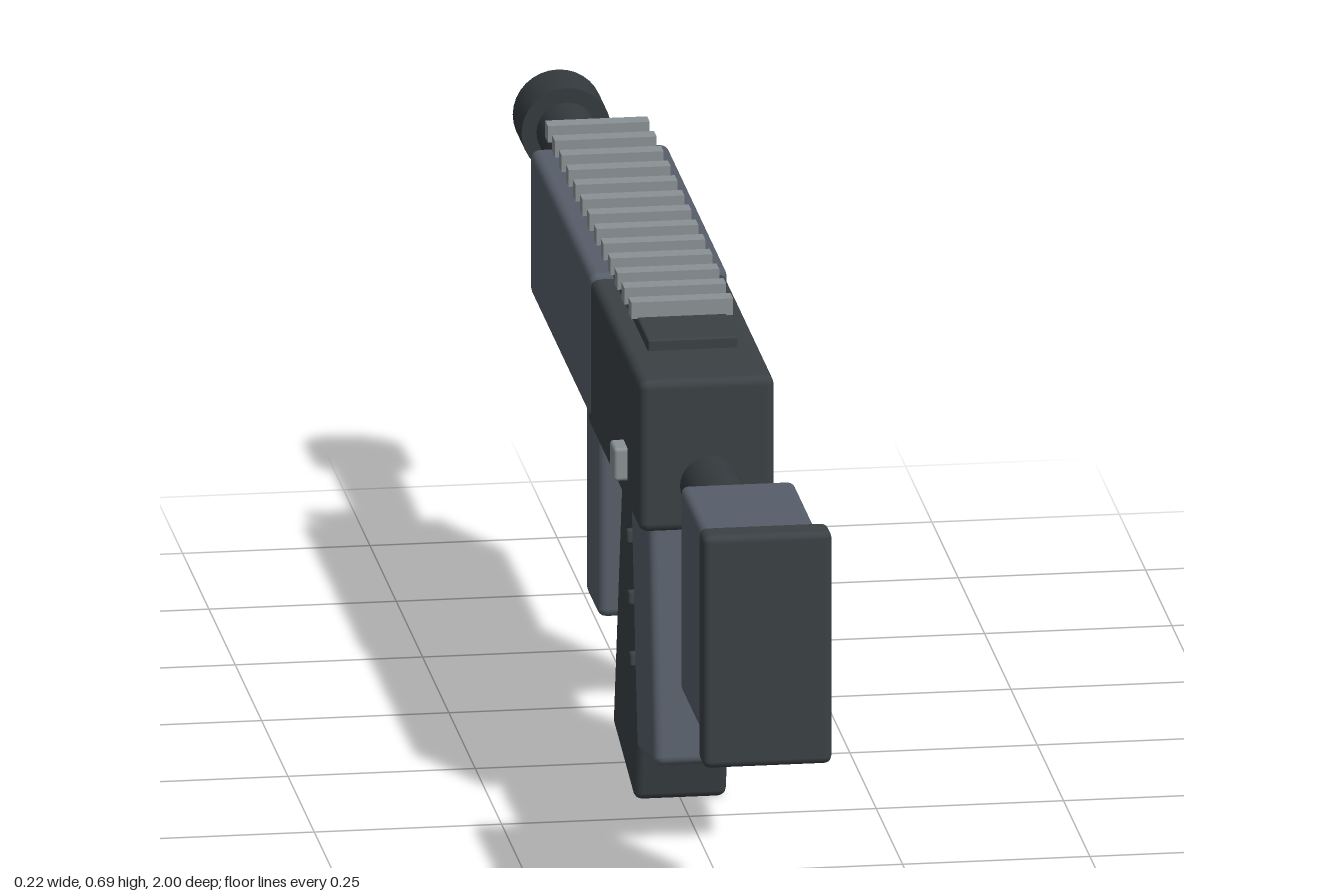
import * as THREE from 'three';
import { RoundedBoxGeometry } from 'three/addons/geometries/RoundedBoxGeometry.js';

const material = (name, color) => {
  const m = new THREE.MeshStandardMaterial({ color });
  m.name = name;
  return m;
};

export function createModel() {
  const charcoal = material('charcoal', 0x3b4144);
  const gunmetal = material('gunmetal', 0x343a3d);
  const slate = material('slate', 0x575e69);
  const steel = material('steel', 0x8a9194);
  const red = material('red', 0xd0604f);

  const model = new THREE.Group();
  model.name = 'blaster';

  const add = (parent, name, geometry, mat) => {
    const mesh = new THREE.Mesh(geometry, mat);
    mesh.name = name;
    parent.add(mesh);
    return mesh;
  };
  // Softly bevelled box given by its ranges on each axis
  const box = (name, mat, [x0, x1], [y0, y1], [z0, z1], r = 0.01, parent = model) => {
    const w = x1 - x0, h = y1 - y0, d = z1 - z0;
    const geometry = r ? new RoundedBoxGeometry(w, h, d, 2, r) : new THREE.BoxGeometry(w, h, d);
    const mesh = add(parent, name, geometry, mat);
    mesh.position.set((x0 + x1) / 2, (y0 + y1) / 2, (z0 + z1) / 2);
    return mesh;
  };
  // Round bar along z
  const bar = (name, mat, radius, y, z0, z1) => {
    const geometry = new THREE.CylinderGeometry(radius, radius, z1 - z0, 32).rotateX(Math.PI / 2);
    add(model, name, geometry, mat).position.set(0, y, (z0 + z1) / 2);
  };
  const sym = (half) => [-half, half];

  // Stock
  box('buttPlate', charcoal, sym(0.086), [0.306, 0.628], [0.953, 1]);
  box('stock', slate, sym(0.076), [0.326, 0.61], [0.708, 0.96]);
  bar('stockTube', gunmetal, 0.04, 0.527, 0.45, 0.72);

  // Body
  box('receiver', charcoal, sym(0.09), [0.455, 0.665], [-0.07, 0.423], 0.012);
  box('handguard', slate, sym(0.092), [0.47, 0.672], [-0.605, -0.035], 0.012);

  // Barrel, with its end just proud of the muzzle
  bar('barrel', gunmetal, 0.04, 0.596, -0.998, -0.55);
  bar('muzzle', gunmetal, 0.06, 0.596, -0.996, -0.912);
  bar('boreFace', gunmetal, 0.042, 0.596, -1, -0.99);

  // Top rail
  box('railBase', charcoal, sym(0.06), [0.65, 0.68], [-0.618, 0.288], 0.003);
  for (let i = 0; i < 13; i++) {
    const z = 0.174 - i * 0.066;
    box('railTooth', steel, sym(0.068), [0.678, 0.701], [z - 0.0125, z + 0.0125], 0);
  }

  // Vents on the left side of the handguard
  for (let i = 0; i < 4; i++) {
    const z = -0.147 - i * 0.122;
    box('vent', charcoal, [0.08, 0.102], [0.536, 0.606], [z - 0.034, z + 0.034], 0.004);
  }

  // Controls
  box('ejectionPort', steel, [0.08, 0.1], [0.549, 0.62], [0.06, 0.212], 0.003);
  box('chargingHandle', red, [0.085, 0.107], [0.566, 0.596], [0.18, 0.26], 0.004);
  box('selectorButton', steel, [-0.108, -0.08], [0.492, 0.538], [0.265, 0.308], 0.005);

  // Rear grip with ridges along its leading edge
  const grip = new THREE.Group();
  grip.name = 'rearGrip';
  grip.position.set(0, 0.118, 0.342);
  grip.rotation.x = -0.172;
  model.add(grip);
  box('gripBody', slate, sym(0.071), [0, 0.39], sym(0.086), 0.012, grip);
  for (const y of [0.122, 0.204, 0.286]) {
    box('gripRidge', charcoal, sym(0.078), [y - 0.01, y + 0.01], [-0.096, -0.077], 0.004, grip);
  }

  // Magazine
  const magazine = new THREE.Group();
  magazine.name = 'magazine';
  magazine.position.set(0, 0.027, 0.067);
  magazine.rotation.x = 0.222;
  model.add(magazine);
  box('magazineBody', charcoal, sym(0.062), [0, 0.46], sym(0.105), 0.012, magazine);

  // Front grip
  box('foregrip', slate, sym(0.056), [0.14, 0.49], [-0.33, -0.212], 0.012);

  return model;
}
